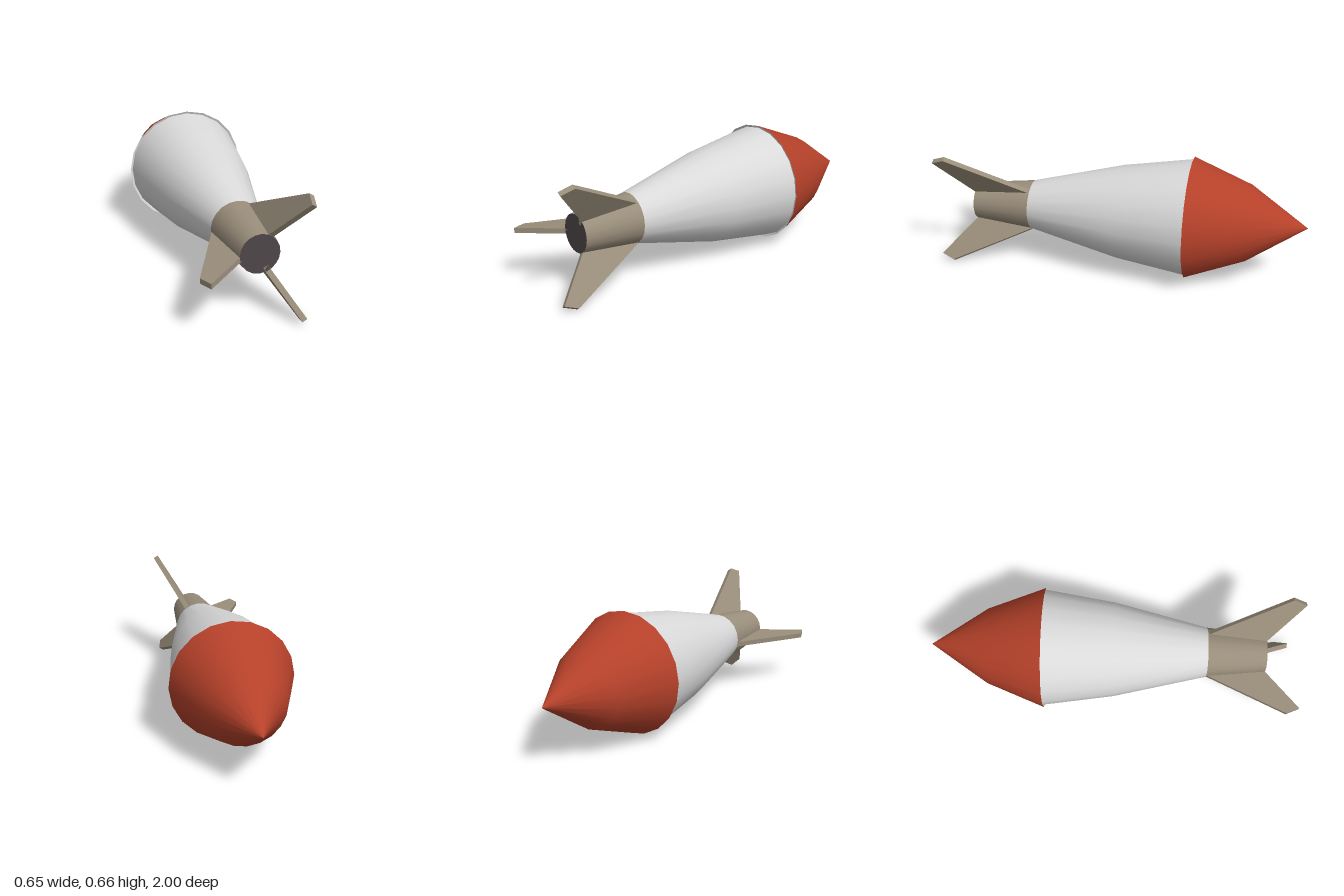
import * as THREE from 'three';

const SIDES = 20;

export function createModel() {
  const model = new THREE.Group();
  const mat = (name, color) => Object.assign(new THREE.MeshStandardMaterial({ color }), { name });
  const white = mat('shellWhite', 0xdadada);
  const red = mat('noseRed', 0xb5412a);
  const tan = mat('tailTan', 0x9a8e7b);
  const dark = mat('nozzleDark', 0x4f4749);

  // Turned section along z; profile is [radius, z] from tail to nose.
  // The axis sags slightly towards the tail.
  function turned(name, profile, material) {
    const geo = new THREE.LatheGeometry(
      profile.map(([r, z]) => new THREE.Vector2(r, -z)), SIDES, 0.03);
    geo.rotateX(-Math.PI / 2);
    const p = geo.attributes.position;
    for (let i = 0; i < p.count; i++) {
      const t = Math.max(0, (p.getZ(i) + 0.38) / 1.2);
      p.setXY(i, p.getX(i) + 0.003 * t, p.getY(i) + 0.334 - 0.018 * t);
    }
    const mesh = new THREE.Mesh(geo, material);
    mesh.name = name;
    model.add(mesh);
  }

  turned('nozzleCap', [[0, 0.82], [0.101, 0.82]], dark);
  turned('tailTube', [[0.101, 0.82], [0.135, 0.5]], tan);
  turned('shell', [[0.135, 0.5], [0.256, 0], [0.315, -0.383]], white);
  turned('shellRim', [[0.315, -0.383], [0.327, -0.378]], white);
  turned('noseCone', [[0.327, -0.378], [0.206, -0.69], [0, -1]], red);

  // Swept fins: root and tip positions in the xy plane
  const fins = [
    ['upperLeftFin', [0.055, 0.402], [0.197, 0.632]],
    ['rightFin', [-0.097, 0.298], [-0.324, 0.284]],
    ['lowerLeftFin', [0.047, 0.222], [0.177, 0.009]],
  ];
  const thickness = 0.027;
  for (const [name, root, tip] of fins) {
    const dx = tip[0] - root[0], dy = tip[1] - root[1];
    const span = Math.hypot(dx, dy);
    const outline = [[-0.03, 0.5], [0.03, 0.5], [span, 0.93],
      [span - 0.03, 1], [0, 0.82], [-0.03, 0.82]];
    const shape = new THREE.Shape(outline.map(([u, z]) => new THREE.Vector2(u, z)));
    const geo = new THREE.ExtrudeGeometry(shape, { depth: thickness, bevelEnabled: false });
    geo.translate(0, 0, -thickness / 2);
    geo.rotateX(Math.PI / 2);
    const fin = new THREE.Mesh(geo, tan);
    fin.name = name;
    fin.position.set(root[0], root[1], 0);
    fin.rotation.z = Math.atan2(dy, dx);
    model.add(fin);
  }
  return model;
}
